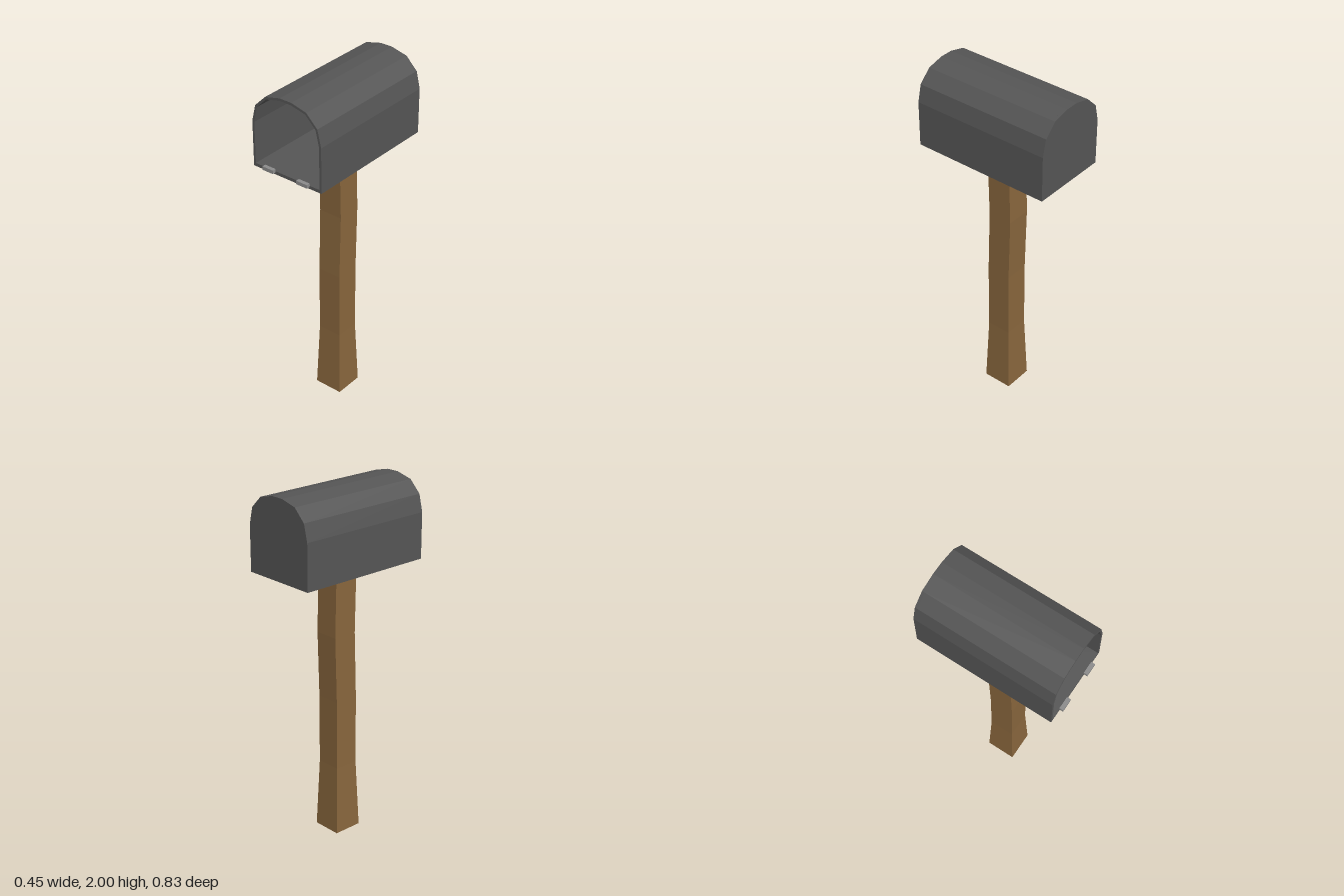
import * as THREE from 'three';

const BOTTOM = 1.557, BACK = -0.415, FRONT = 0.393, PANEL = 0.014;

// Half of the arched outline, from the lower corner to the crown
const OUTER = [[0.223, BOTTOM], [0.223, 1.815], [0.2, 1.91], [0.132, 1.977], [0.037, 2]];
const INNER = [[0.21, 1.575], [0.21, 1.812], [0.189, 1.902], [0.126, 1.965], [0.035, 1.986]];

function mirrored(half) {
  const left = [...half].reverse().map(([x, y]) => [-x, y]);
  return [...half, ...left].map(([x, y]) => new THREE.Vector2(x, y));
}

function extrude(shape, depth, z) {
  const geometry = new THREE.ExtrudeGeometry(shape, { depth, bevelEnabled: false });
  return geometry.translate(0, 0, z);
}

// Square post, flared at the foot and slightly bent front to back
function postGeometry() {
  const rings = [ // y, half width, z centre
    [0, 0.085, -0.009], [0.4, 0.071, -0.009], [0.8, 0.071, -0.009],
    [1.18, 0.071, -0.02], [BOTTOM + 0.005, 0.071, -0.01],
  ];
  const geometry = new THREE.BoxGeometry(2, rings.length - 1, 2, 1, rings.length - 1, 1);
  const p = geometry.attributes.position;
  for (let i = 0; i < p.count; i++) {
    const [y, half, z] = rings[Math.round(p.getY(i) + (rings.length - 1) / 2)];
    p.setXYZ(i, p.getX(i) * half, y, p.getZ(i) * half + z);
  }
  const flat = geometry.toNonIndexed();
  flat.computeVertexNormals();
  return flat;
}

export function createModel() {
  const model = new THREE.Group();
  model.name = 'mailbox';
  const metal = new THREE.MeshStandardMaterial({ color: 0x555555 });
  metal.name = 'dark grey metal';
  const steel = new THREE.MeshStandardMaterial({ color: 0x8a8a8a });
  steel.name = 'light grey steel';
  const wood = new THREE.MeshStandardMaterial({ color: 0x87653c });
  wood.name = 'brown wood';

  const add = (name, geometry, material) => {
    const mesh = new THREE.Mesh(geometry, material);
    mesh.name = name;
    model.add(mesh);
    return mesh;
  };

  add('post', postGeometry(), wood);

  // Hollow arched body, open at the front
  const tube = new THREE.Shape(mirrored(OUTER));
  tube.holes.push(new THREE.Path(mirrored(INNER)));
  add('shell', extrude(tube, FRONT - BACK - PANEL, BACK + PANEL), metal);
  add('backPanel', extrude(new THREE.Shape(mirrored(OUTER)), PANEL, BACK), metal);

  // Door hinges on the lower front lip
  for (const side of [-1, 1]) {
    const hinge = add(side > 0 ? 'leftHinge' : 'rightHinge', new THREE.BoxGeometry(0.07, 0.02, 0.022), steel);
    hinge.position.set(side * 0.112, 1.578, FRONT + 0.01);
  }
  return model;
}
